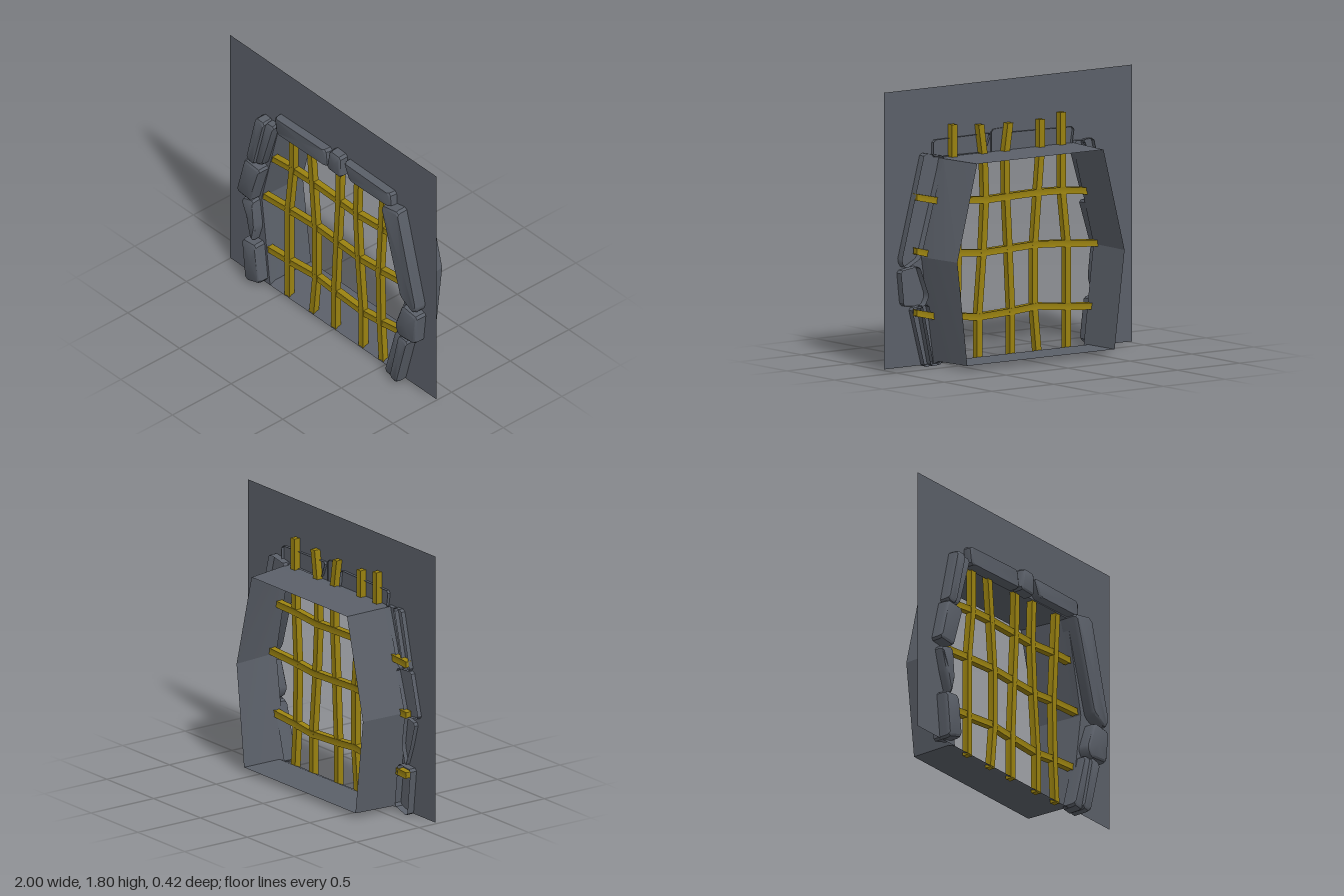
import * as THREE from 'three';
import { toCreasedNormals } from 'three/addons/utils/BufferGeometryUtils.js';

const mat = (name, color, side = THREE.DoubleSide) => {
  const m = new THREE.MeshStandardMaterial({ color, side });
  m.name = name;
  return m;
};

// Skin a list of equal-length rings (counter-clockwise about the travel axis), with optional fan caps.
function loft(rings, capStart, capEnd, crease) {
  const n = rings[0].length, pos = rings.flat(2), idx = [];
  for (let r = 0; r < rings.length - 1; r++)
    for (let i = 0; i < n; i++) {
      const a = r * n + i, b = r * n + (i + 1) % n;
      idx.push(a, b, b + n, a, b + n, a + n);
    }
  const cap = (r, flip) => {
    const c = pos.length / 3;
    for (let k = 0; k < 3; k++) pos.push(rings[r].reduce((s, p) => s + p[k], 0) / n);
    for (let i = 0; i < n; i++) {
      const a = r * n + i, b = r * n + (i + 1) % n;
      idx.push(c, flip ? b : a, flip ? a : b);
    }
  };
  if (capStart) cap(0, true);
  if (capEnd) cap(rings.length - 1, false);
  const g = new THREE.BufferGeometry();
  g.setAttribute('position', new THREE.Float32BufferAttribute(pos, 3));
  g.setIndex(idx);
  return toCreasedNormals(g, crease);
}

// Open-backed block with softened corners and a bevelled face.
function stoneGeometry(outline, z0, z1) {
  if (THREE.ShapeUtils.area(outline.map(p => new THREE.Vector2(...p))) < 0) outline = [...outline].reverse();
  const n = outline.length, pts = [];
  const toward = (p, q, d) => {
    const l = Math.hypot(q[0] - p[0], q[1] - p[1]);
    return [p[0] + (q[0] - p[0]) * d / l, p[1] + (q[1] - p[1]) * d / l];
  };
  outline.forEach((p, i) => {
    pts.push(toward(p, outline[(i + n - 1) % n], 0.016), toward(p, outline[(i + 1) % n], 0.016));
  });
  const c = [0, 1].map(k => outline.reduce((s, p) => s + p[k], 0) / n);
  const ring = (inset, z) => pts.map(p => [...toward(p, c, inset), z]);
  return loft([ring(0, z0), ring(0, z1 - 0.028), ring(0.007, z1 - 0.009), ring(0.022, z1)], false, true, 0.6);
}

// Four-lobed bar following a path of [x, y, z] points.
function barGeometry(path, vertical) {
  const rings = path.map(([x, y, z]) => Array.from({ length: 8 }, (_, i) => {
    const a = i * Math.PI / 4, r = i % 2 ? 0.031 : 0.018;
    const u = Math.cos(a) * r, v = Math.sin(a) * r;
    return vertical ? [x + v, y, z + u] : [x, y + u, z + v];
  }));
  return loft(rings, true, true, 0.4);
}

export function createModel() {
  const model = new THREE.Group();
  model.name = 'barredArchway';
  const wallMat = mat('wall grey', 0x5b6069);
  const stoneMat = mat('stone grey', 0x595e67);
  const barMat = mat('bar gold', 0x9a8210);
  const add = (name, geometry, material, parent = model) => {
    const m = new THREE.Mesh(geometry, material);
    m.name = name;
    parent.add(m);
  };
  const group = name => {
    const g = new THREE.Group();
    g.name = name;
    model.add(g);
    return g;
  };

  // Flat wall cut by the opening
  const wallZ = 0.13;
  const front = [[0.6, 0.02], [0.7, 0.72], [0.56, 1.35], [-0.52, 1.35], [-0.69, 0.68], [-0.61, 0.02]];
  const back = [[0.59, 0.045], [0.67, 0.72], [0.51, 1.345], [-0.51, 1.345], [-0.68, 0.68], [-0.6, 0.045]];
  const outline = [[-1, 0.02], ...[...front].reverse(), [1, 0.02], [1, 1.81], [-1, 1.81]];
  const wall = new THREE.ShapeGeometry(new THREE.Shape(outline.map(p => new THREE.Vector2(...p))));
  wall.translate(0, 0, wallZ);
  add('wall', wall, wallMat);

  // Passage running back from the opening
  const at = (ring, z) => ring.map(([x, y]) => [x, y, z]);
  const lip = front.map(([x, y]) => [x, Math.max(y, 0.04)]);
  add('passage', loft([at(back, -0.21), at(lip, 0.08), at(front, wallZ)], false, false, 0.15), wallMat);

  // Stones around the opening: [outline, back z, front z]
  const stones = group('surroundStones');
  [
    [[[-0.52, 1.455], [-0.01, 1.465], [0.005, 1.34], [-0.5, 1.33]], 0.11, 0.185],
    [[[0.03, 1.5], [0.14, 1.495], [0.14, 1.33], [0, 1.34]], 0.12, 0.195],
    [[[0.15, 1.475], [0.615, 1.47], [0.62, 1.36], [0.2, 1.355]], 0.11, 0.185],
    [[[0.55, 1.365], [0.71, 1.395], [0.895, 0.71], [0.86, 0.66], [0.74, 0.72]], 0.08, 0.21],
    [[[0.75, 0.67], [0.9, 0.65], [0.875, 0.42], [0.71, 0.405], [0.675, 0.47]], 0.08, 0.21],
    [[[0.67, 0.415], [0.74, 0.41], [0.65, 0.01], [0.56, 0.02]], 0.09, 0.19],
    [[[0.72, 0.415], [0.805, 0.4], [0.7, 0.01], [0.63, 0.02]], 0.09, 0.21],
    [[[-0.67, 1.37], [-0.585, 1.365], [-0.69, 0.97], [-0.765, 0.98]], 0.1, 0.205],
    [[[-0.6, 1.36], [-0.515, 1.365], [-0.63, 0.99], [-0.7, 0.97]], 0.1, 0.185],
    [[[-0.775, 0.98], [-0.62, 0.965], [-0.715, 0.665], [-0.855, 0.68]], 0.1, 0.21],
    [[[-0.82, 0.64], [-0.71, 0.67], [-0.68, 0.46], [-0.72, 0.33], [-0.775, 0.48]], 0.1, 0.195],
    [[[-0.8, 0.33], [-0.665, 0.34], [-0.63, 0.05], [-0.765, 0.01]], 0.08, 0.21],
  ].forEach(([o, z0, z1], i) => add('stone' + (i + 1), stoneGeometry(o, z0, z1), stoneMat, stones));

  // Upright bars: x at each shared height
  const bars = group('bars');
  const heights = [0.015, 0.31, 0.71, 1.06, 1.33];
  [
    [[-0.45, -0.45, -0.45, -0.41, -0.41, -0.41], 1.56],
    [[-0.215, -0.185, -0.185, -0.215, -0.24, -0.24], 1.53],
    [[0, 0, 0.02, 0.04, 0.045, 0.015], 1.53],
    [[0.265, 0.265, 0.23, 0.21, 0.22, 0.25], 1.54],
    [[0.46, 0.44, 0.43, 0.45, 0.465, 0.465], 1.56],
  ].forEach(([xs, top], i) => {
    const path = xs.map((x, k) => [x, [...heights, top][k], 0.105]);
    add('uprightBar' + (i + 1), barGeometry(path, true), barMat, bars);
  });

  // Cross bars, drifting back slightly towards the left
  [
    [[-0.75, 0.28], [-0.64, 0.285], [-0.39, 0.305], [-0.2, 0.325], [0, 0.31], [0.27, 0.297], [0.45, 0.318], [0.65, 0.34], [0.78, 0.37]],
    [[-0.75, 0.685], [-0.67, 0.69], [-0.39, 0.713], [-0.19, 0.725], [0.02, 0.717], [0.24, 0.71], [0.43, 0.727], [0.68, 0.745], [0.78, 0.77]],
    [[-0.75, 1.025], [-0.6, 1.035], [-0.41, 1.055], [-0.21, 1.06], [0.04, 1.055], [0.21, 1.05], [0.45, 1.07], [0.6, 1.08], [0.78, 1.12]],
  ].forEach((pts, i) => {
    const path = pts.map(([x, y]) => [x, y, x > 0.5 ? 0.09 : 0.102]);
    add('crossBar' + (i + 1), barGeometry(path, false), barMat, bars);
  });

  return model;
}
